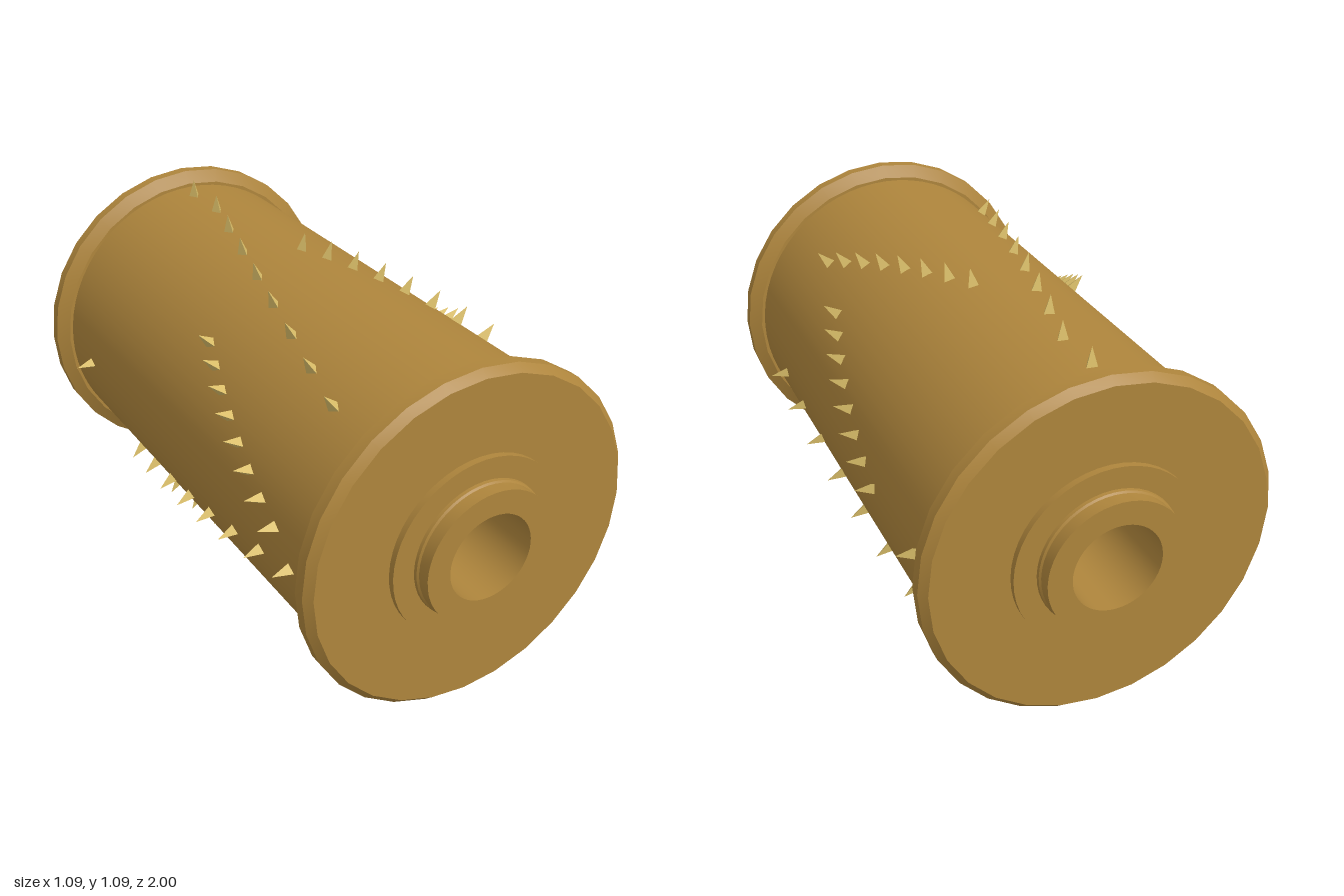
import * as THREE from 'three';
import { toCreasedNormals } from 'three/addons/utils/BufferGeometryUtils.js';

const AXIS_Y = 0.548;      // height of the cylinder axis
const TRACK = 0.088;       // spacing of the 18 pin tracks along the axis
const STEP = 5;            // degrees between pin columns

// Lathe a [radius, position] profile, keeping its edges sharp
function turned(profile, sides) {
  const points = profile.map(([r, t]) => new THREE.Vector2(r, t));
  return toCreasedNormals(new THREE.LatheGeometry(points, sides), 0.3);
}

export function createModel() {
  const bronze = new THREE.MeshStandardMaterial({ color: 0xae853c });
  bronze.name = 'bronze';
  const brass = new THREE.MeshStandardMaterial({ color: 0xd9bd68 });
  brass.name = 'pale brass';

  const model = new THREE.Group();
  model.name = 'pinnedCylinder';
  const add = (name, geometry, material, parent) => {
    const mesh = new THREE.Mesh(geometry, material);
    mesh.name = name;
    parent.add(mesh);
    return mesh;
  };

  // Barrel
  const barrel = add('barrel', turned([[0.49, -0.85], [0.49, 0.85]], 64), bronze, model);
  barrel.rotation.x = Math.PI / 2;
  barrel.position.y = AXIS_Y;

  // End caps: flange, collar and hub with half of the bore
  const flange = turned([[0.485, 0.84], [0.502, 0.84], [0.542, 0.865], [0.542, 0.902],
    [0.52, 0.925], [0.27, 0.925]], 28);
  const collar = turned([[0.285, 0.92], [0.285, 0.945], [0.2, 0.945]], 48);
  const hub = turned([[0.218, 0.94], [0.216, 0.955], [0.211, 0.96], [0.211, 1],
    [0.137, 1], [0.137, 0]], 48);
  for (const [name, turn] of [['frontEnd', 1], ['backEnd', -1]]) {
    const end = new THREE.Group();
    end.name = name;
    end.position.y = AXIS_Y;
    end.rotation.x = turn * Math.PI / 2;
    add('flange', flange, bronze, end);
    add('collar', collar, bronze, end);
    add('hub', hub, bronze, end);
    model.add(end);
  }

  // Pins: runs of eight [first column, first track, track change per column]
  const runs = [
    [0, 4, 1], [9, 14, -1], [18, 2, 2], [27, 9, 1],
    [36, 17, -2], [45, 5, 1], [54, 15, -1], [63, 1, 2],
  ];
  // Single accent pins [column, track]
  const pinSpots = [[0, 0], [18, 0], [36, 1], [54, 0]];
  for (const [column, track, change] of runs) {
    for (let k = 0; k < 8; k++) pinSpots.push([column + k, track + k * change]);
  }

  const pins = new THREE.Group();
  pins.name = 'pins';
  pins.position.y = AXIS_Y;
  const pinShape = toCreasedNormals(new THREE.ConeGeometry(0.022, 0.063, 3), 0.3);
  for (const [column, track] of pinSpots) {
    const angle = THREE.MathUtils.degToRad(column * STEP + STEP / 2);
    const pin = add('pin', pinShape, brass, pins);
    pin.position.set(Math.cos(angle) * 0.5165, Math.sin(angle) * 0.5165, (track - 8.5) * TRACK);
    pin.rotation.z = angle - Math.PI / 2;
  }
  model.add(pins);
  return model;
}
